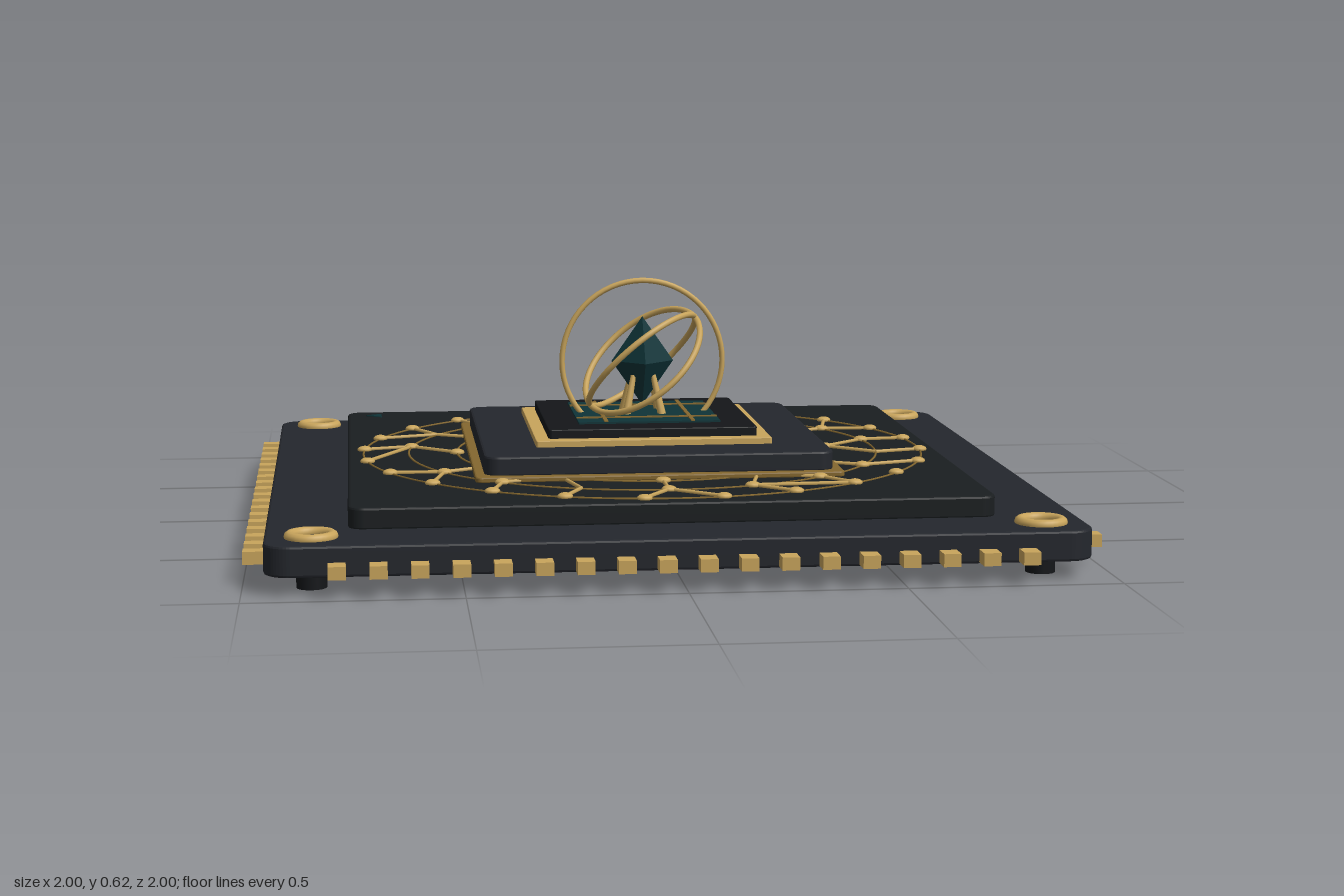
import * as THREE from 'three';
import { RoundedBoxGeometry } from 'three/addons/geometries/RoundedBoxGeometry.js';

const mat = (color) => new THREE.MeshStandardMaterial({ color });
const GOLD = mat(0xc9a55c), DARK_GOLD = mat(0x85682f), BOARD = mat(0x24272d);
const PLATE = mat(0x1a1e20), BLACK = mat(0x141619), TEAL = mat(0x0f3438);

// Rounded square outline
function squareShape(h, r, Type = THREE.Shape) {
  const s = new Type();
  s.moveTo(-h + r, -h);
  s.lineTo(h - r, -h); s.absarc(h - r, -h + r, r, -Math.PI / 2, 0);
  s.lineTo(h, h - r); s.absarc(h - r, h - r, r, 0, Math.PI / 2);
  s.lineTo(-h + r, h); s.absarc(-h + r, h - r, r, Math.PI / 2, Math.PI);
  s.lineTo(-h, -h + r); s.absarc(-h + r, -h + r, r, Math.PI, Math.PI * 1.5);
  return s;
}

export function createModel() {
  const model = new THREE.Group();

  function add(name, geometry, material, x = 0, y = 0, z = 0, parent = model) {
    const m = new THREE.Mesh(geometry, material);
    m.name = name;
    m.position.set(x, y, z);
    parent.add(m);
    return m;
  }
  function group(name) {
    const g = new THREE.Group();
    g.name = name;
    model.add(g);
    return g;
  }
  // Horizontal slab with rounded corners, from y0 to y1, with optional square hole
  function slab(name, half, r, y0, y1, material, hole = 0, bevel = 0.006) {
    const s = squareShape(half - bevel, r);
    if (hole) s.holes.push(squareShape(hole + bevel, 0.004, THREE.Path));
    const g = new THREE.ExtrudeGeometry(s, {
      depth: y1 - y0 - 2 * bevel, bevelEnabled: bevel > 0, bevelSize: bevel,
      bevelThickness: bevel, bevelSegments: 2, curveSegments: 6,
    });
    g.translate(0, 0, bevel);
    g.rotateX(-Math.PI / 2);
    return add(name, g, material, 0, y0, 0);
  }
  // Straight rod between two points
  function rod(name, a, b, r0, r1, sides, material, parent) {
    const d = b.clone().sub(a);
    const m = add(name, new THREE.CylinderGeometry(r1, r0, d.length(), sides), material, 0, 0, 0, parent);
    m.position.copy(a).add(b).multiplyScalar(0.5);
    m.quaternion.setFromUnitVectors(new THREE.Vector3(0, 1, 0), d.normalize());
    return m;
  }

  // Stacked body
  slab('baseBoard', 0.95, 0.055, 0.043, 0.115, BOARD);
  slab('underside', 0.93, 0.05, 0.0415, 0.05, BLACK, 0, 0);
  slab('upperPlate', 0.76, 0.03, 0.112, 0.165, PLATE);
  slab('tierTrim', 0.453, 0.012, 0.163, 0.178, DARK_GOLD, 0, 0.004);
  slab('tier', 0.43, 0.03, 0.174, 0.224, BOARD);
  slab('goldFrame', 0.295, 0.004, 0.222, 0.24, GOLD, 0.255, 0.002);
  slab('die', 0.262, 0.006, 0.222, 0.263, BLACK, 0, 0.003);
  slab('diePanel', 0.18, 0.002, 0.26, 0.268, TEAL, 0, 0);
  for (const s of [-0.11, 0.11]) {
    add('panelLineZ', new THREE.BoxGeometry(0.01, 0.004, 0.36), DARK_GOLD, s, 0.269, 0);
    add('panelLineX', new THREE.BoxGeometry(0.36, 0.004, 0.01), DARK_GOLD, 0, 0.269, s);
  }

  // Corner feet and gold rings
  for (const x of [-0.843, 0.843]) for (const z of [-0.843, 0.843]) {
    add('foot', new THREE.CylinderGeometry(0.035, 0.035, 0.045, 16), BLACK, x, 0.0225, z);
    const ring = add('cornerRing', new THREE.TorusGeometry(0.049, 0.013, 10, 32), GOLD, x, 0.118, z);
    ring.rotation.x = Math.PI / 2;
  }

  // Edge pins, 18 on each side
  const pins = group('edgePins');
  const pinGeo = new THREE.BoxGeometry(0.04, 0.03, 0.07);
  for (let side = 0; side < 4; side++) {
    const edge = new THREE.Group();
    edge.rotation.y = side * Math.PI / 2;
    pins.add(edge);
    for (let i = 0; i < 18; i++) add('pin', pinGeo, GOLD, (i - 8.5) * 0.0924, 0.062, 0.965, edge);
  }

  // Contact pads underneath
  const pads = group('contactPads');
  const padGeo = new RoundedBoxGeometry(0.11, 0.034, 0.11, 2, 0.01);
  for (let i = -3; i <= 3; i++) for (let j = -3; j <= 3; j++) {
    if (i || j) add('pad', padGeo, GOLD, i * 0.2165, 0.034, j * 0.2165, pads);
  }

  // Trace network: three circles, nodes and links
  const net = group('traceNetwork');
  const polar = (r, deg) => {
    const a = deg * Math.PI / 180;
    return new THREE.Vector3(r * Math.sin(a), 0.168, -r * Math.cos(a));
  };
  const nodeGeo = new THREE.SphereGeometry(0.019, 12, 8).scale(1, 0.5, 1);
  const ringNodes = (r, n, start, skip = []) => {
    const circle = add('traceCircle', new THREE.TorusGeometry(r, 0.003, 5, 96), DARK_GOLD, 0, 0.166, 0, net);
    circle.rotation.x = Math.PI / 2;
    const list = [];
    for (let k = 0; k < n; k++) {
      if (!skip.includes(k)) list.push(polar(r, start + k * 360 / n));
    }
    return list;
  };
  const outer = ringNodes(0.72, 24, 5.6);
  const middle = ringNodes(0.604, 18, 0, [13]);
  const inner = ringNodes(0.48, 12, 0);
  const hiddenNodes = [2, 5, 10, 14];
  for (const p of [...outer, ...middle.filter((_, k) => !hiddenNodes.includes(k)), ...inner]) {
    add('traceNode', nodeGeo, GOLD, p.x, p.y, p.z, net);
  }
  const nearest = (p, list) => [...list].sort((a, b) => a.distanceTo(p) - b.distanceTo(p));
  const link = (a, b) => rod('traceLink', a, b, 0.005, 0.005, 6, GOLD, net);
  outer.forEach((p, k) => {
    if (k === 8) return;
    const near = nearest(p, middle);
    link(p, near[0]);
    if (k === 0 || k === 9) link(p, near[1]);
  });
  middle.forEach((p) => link(p, nearest(p, inner)[0]));

  // Orientation marker on the plate
  const marker = add('cornerMarker', new THREE.CylinderGeometry(0.028, 0.028, 0.004, 3), TEAL, -0.68, 0.166, -0.68);
  marker.rotation.y = -Math.PI / 2;

  // Crystal on its prongs
  const crystal = add('crystal', new THREE.OctahedronGeometry(1), TEAL.clone(), 0, 0.4, 0);
  crystal.scale.set(0.08, 0.115, 0.08);
  crystal.material.flatShading = true;
  for (let i = 0; i < 4; i++) {
    const a = (i + 0.5) * Math.PI / 2, c = Math.cos(a), s = Math.sin(a);
    rod('prong', new THREE.Vector3(c * 0.065, 0.265, s * 0.065),
      new THREE.Vector3(c * 0.036, 0.365, s * 0.036), 0.011, 0.007, 8, GOLD, model);
  }

  // Orbit rings: one upright, two tilted as a mirrored pair
  add('uprightRing', new THREE.TorusGeometry(0.208, 0.007, 8, 64), GOLD, 0, 0.4, 0);
  for (const z of [-0.39, 0.39]) {
    const ring = add('tiltedRing', new THREE.TorusGeometry(0.176, 0.008, 8, 64), GOLD, 0, 0.4, 0);
    ring.quaternion.setFromUnitVectors(new THREE.Vector3(0, 0, 1),
      new THREE.Vector3(-0.59, 0.71, z).normalize());
  }
  return model;
}
